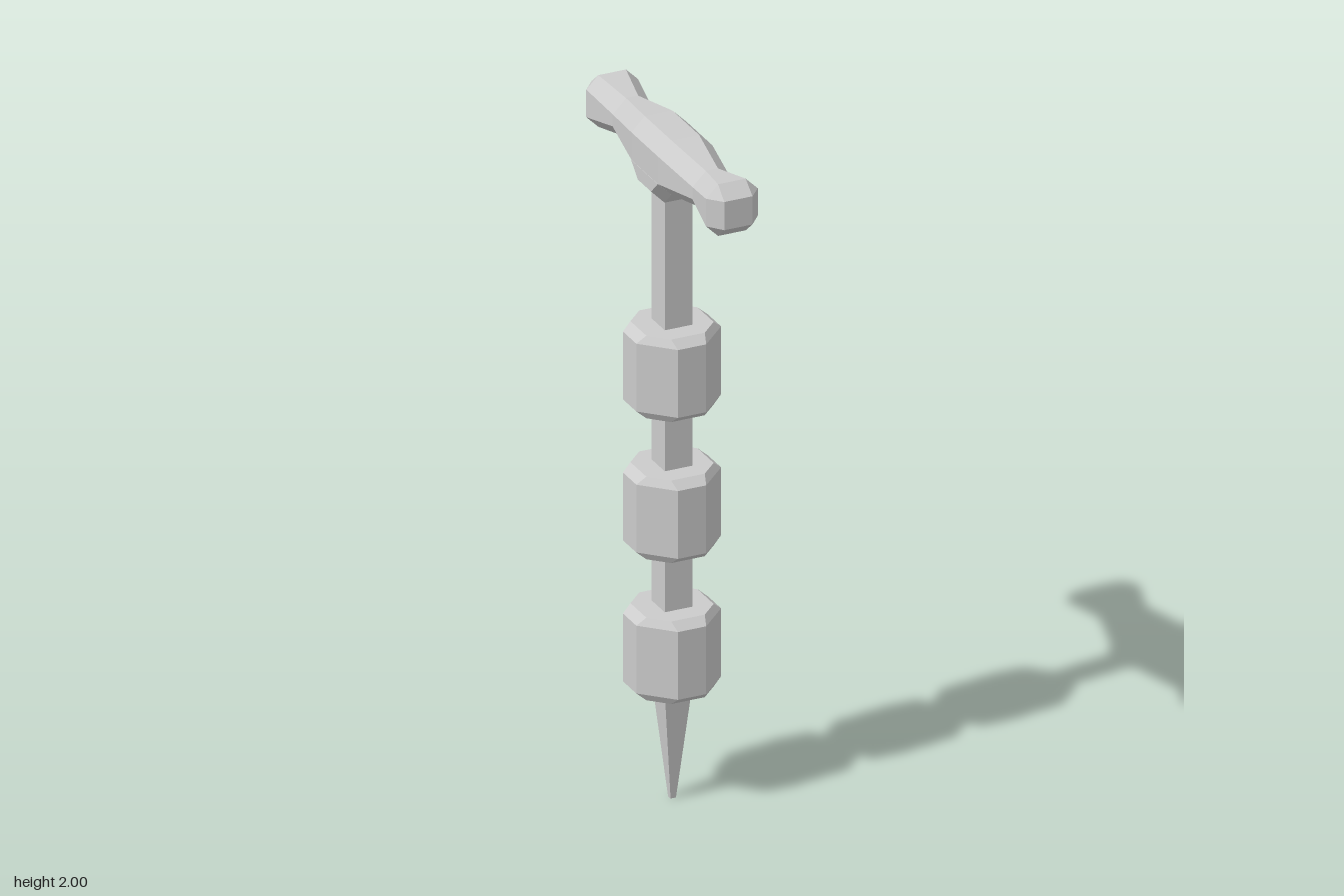
import * as THREE from 'three';
import { ConvexGeometry } from 'three/addons/geometries/ConvexGeometry.js';

const material = new THREE.MeshStandardMaterial({ color: 0xcccccc, flatShading: true });

// Chamfered square: outer half-width a, flat half-width b (a === b gives a square)
const section = ([z, a, b]) => [[a, -b], [a, b], [b, a], [-b, a], [-a, b], [-a, -b], [-b, -a], [b, -a]]
  .map(([x, y]) => new THREE.Vector3(x, y, z));

// Capped loft through sections [z, a, b] listed with rising z
function loft(stations) {
  const rings = stations.map(section);
  const positions = [];
  const tri = (a, b, c) => {
    if (new THREE.Triangle(a, b, c).getArea() < 1e-7) return;
    for (const p of [a, b, c]) positions.push(p.x, p.y, p.z);
  };
  for (let r = 0; r < rings.length - 1; r++) {
    for (let i = 0; i < 8; i++) {
      const j = (i + 1) % 8;
      const [p, q] = [rings[r], rings[r + 1]];
      tri(p[i], p[j], q[j]);
      tri(p[i], q[j], q[i]);
    }
  }
  const first = rings[0], last = rings[rings.length - 1];
  for (let i = 1; i < 7; i++) {
    tri(first[0], first[i + 1], first[i]);
    tri(last[0], last[i], last[i + 1]);
  }
  const geometry = new THREE.BufferGeometry();
  geometry.setAttribute('position', new THREE.Float32BufferAttribute(positions, 3));
  geometry.computeVertexNormals();
  return geometry;
}

export function createModel() {
  const model = new THREE.Group();
  model.name = 'spikedHammer';
  const add = (name, geometry, y = 0) => {
    const mesh = new THREE.Mesh(geometry, material);
    mesh.name = name;
    mesh.position.y = y;
    model.add(mesh);
  };

  // Square shaft tapering to a spike
  add('shaft', loft([[0, 0.008, 0.008], [0.34, 0.041, 0.041], [1.83, 0.041, 0.041]]).rotateX(-Math.PI / 2));

  // Three bevelled grip collars
  const collar = loft([[0, 0.1, 0.05], [0.022, 0.126, 0.042], [0.224, 0.126, 0.042], [0.246, 0.1, 0.05]])
    .rotateX(-Math.PI / 2);
  [0.33, 0.75, 1.17].forEach((y, i) => add(`gripCollar${i + 1}`, collar, y));

  // Double-ended head, waisted on both sides of the middle
  const half = [[0.083, 0.081, 0.041], [0.25, 0.058, 0.018], [0.375, 0.077, 0.041], [0.416, 0.042, 0.042]];
  const mirrored = half.map(([z, a, b]) => [-z, a, b]).reverse();
  add('hammerHead', loft([...mirrored, ...half]), 1.919);

  // Bevelled socket below the head
  const points = [];
  for (const sx of [-1, 1]) for (const sz of [-1, 1]) {
    for (const [x, y, z] of [[0.082, 1.878, 0.083], [0.082, 1.838, 0.042], [0.041, 1.838, 0.083], [0.042, 1.797, 0.042]]) {
      points.push(new THREE.Vector3(sx * x, y, sz * z));
    }
  }
  add('headSocket', new ConvexGeometry(points));

  return model;
}
